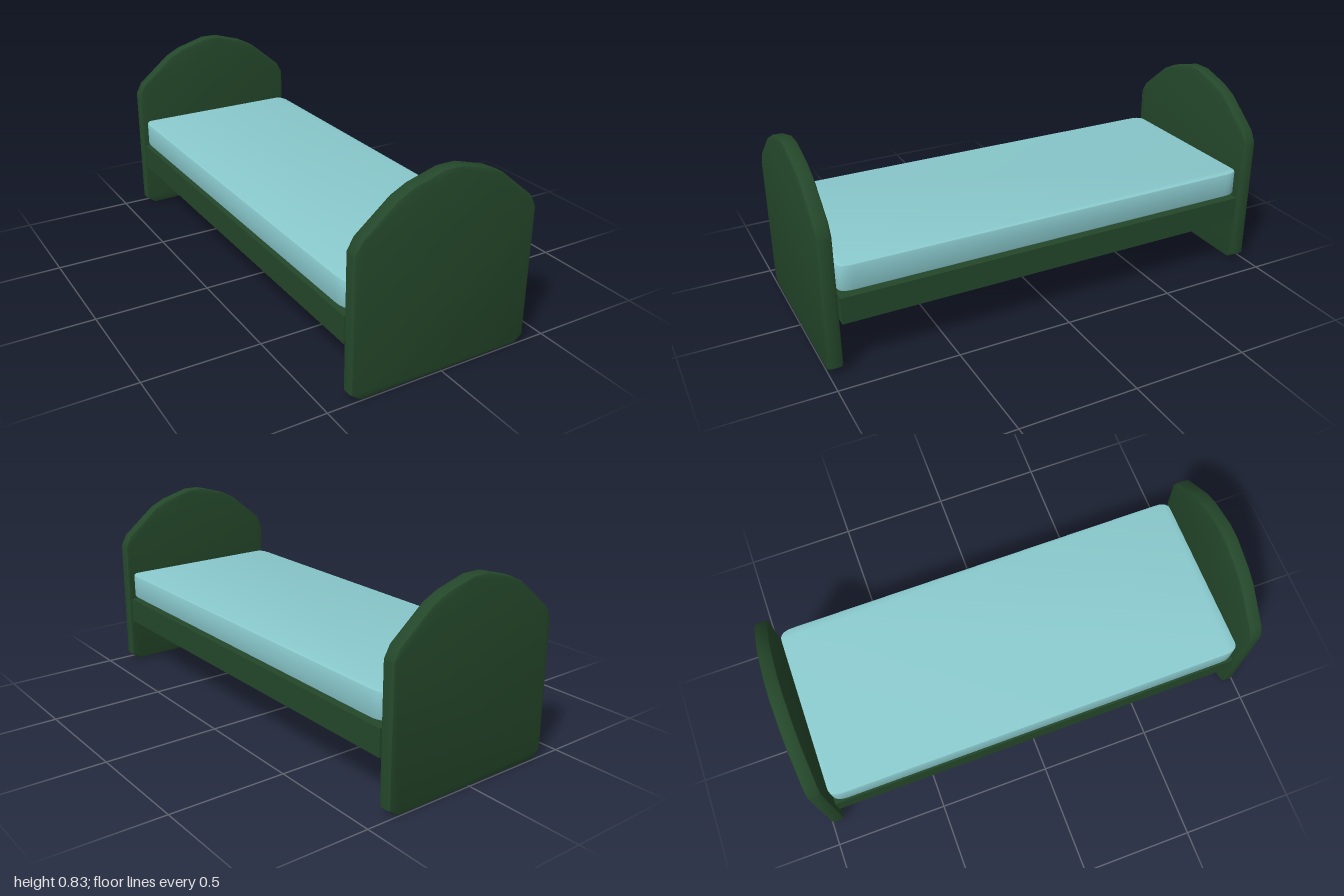
import * as THREE from 'three';
import { toCreasedNormals } from 'three/addons/utils/BufferGeometryUtils.js';

const wood = new THREE.MeshStandardMaterial({ color: 0x24472a });
const fabric = new THREE.MeshStandardMaterial({ color: 0x8acace });

// Bevelled slab, centred on its thickness, with the outline kept at full size
function slab(shape, thickness, bevel, segments, crease) {
  const geo = new THREE.ExtrudeGeometry(shape, {
    depth: thickness - 2 * bevel, bevelThickness: bevel, bevelSize: bevel,
    bevelOffset: -bevel, bevelSegments: segments, curveSegments: 5,
  });
  geo.translate(0, 0, bevel - thickness / 2);
  return toCreasedNormals(geo, crease);
}

function addMesh(group, name, geo, material, x, y, z) {
  const mesh = new THREE.Mesh(geo, material);
  mesh.name = name;
  mesh.position.set(x, y, z);
  group.add(mesh);
  return mesh;
}

export function createModel() {
  const bed = new THREE.Group();
  bed.name = 'bed';

  // Arched end boards: half the outline, mirrored across x
  const half = [[0.36, 0], [0.4, 0.03], [0.4, 0.588], [0.373, 0.638],
    [0.228, 0.758], [0.162, 0.791], [0.037, 0.827]];
  const outline = [...half, ...half.map(([x, y]) => [-x, y]).reverse()];
  const boardShape = new THREE.Shape(outline.map(([x, y]) => new THREE.Vector2(x, y)));
  const board = slab(boardShape, 0.06, 0.012, 2, 0.6);
  addMesh(bed, 'footboard', board, wood, 0, 0, 0.97);
  addMesh(bed, 'headboard', board, wood, 0, 0, -0.97);

  // Bed base
  addMesh(bed, 'base', new THREE.BoxGeometry(0.786, 0.113, 1.86), wood, 0, 0.267, 0);

  // Mattress with rounded corners in plan
  const w = 0.39, l = 0.93, rx = 0.04, rz = 0.065;
  const plan = new THREE.Shape();
  plan.moveTo(w, -l + rz);
  plan.lineTo(w, l - rz);
  plan.quadraticCurveTo(w, l, w - rx, l);
  plan.lineTo(-w + rx, l);
  plan.quadraticCurveTo(-w, l, -w, l - rz);
  plan.lineTo(-w, -l + rz);
  plan.quadraticCurveTo(-w, -l, -w + rx, -l);
  plan.lineTo(w - rx, -l);
  plan.quadraticCurveTo(w, -l, w, -l + rz);
  const mattress = slab(plan, 0.111, 0.006, 2, 0.6);
  mattress.rotateX(-Math.PI / 2);
  addMesh(bed, 'mattress', mattress, fabric, 0, 0.399, 0);

  return bed;
}
